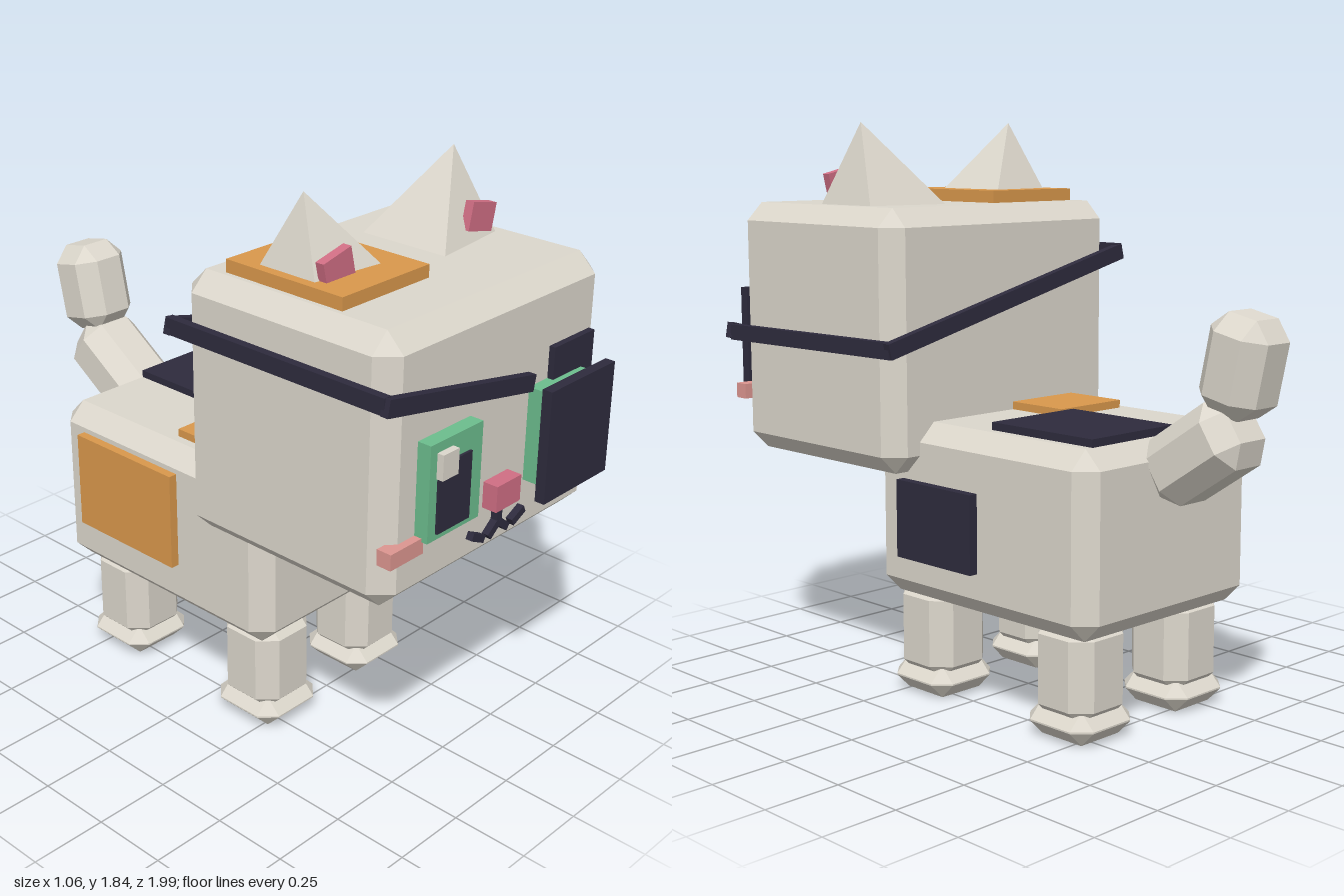
import * as THREE from 'three';
import { ConvexGeometry } from 'three/addons/geometries/ConvexGeometry.js';

const mat = (name, color) => {
  const m = new THREE.MeshStandardMaterial({ color });
  m.name = name;
  return m;
};

export function createModel() {
  const cat = new THREE.Group();
  cat.name = 'cat';
  const cream = mat('cream fur', 0xdcd7cc);
  const orange = mat('orange fur', 0xd9984c);
  const dark = mat('dark navy', 0x2e2b3d);
  const green = mat('eye green', 0x6cbd8d);
  const pink = mat('pink', 0xd06e84);
  const blush = mat('blush', 0xdd9690);

  const add = (name, geometry, material, pos = [0, 0, 0]) => {
    const mesh = new THREE.Mesh(geometry, material);
    mesh.name = name;
    mesh.position.set(...pos);
    cat.add(mesh);
    return mesh;
  };

  const hull = (points) => new ConvexGeometry(points.map((p) => new THREE.Vector3(...p)));

  // Box with flat chamfers on every edge
  const chamferBox = (w, h, d, b) => {
    const pts = [];
    for (const sx of [-1, 1]) for (const sy of [-1, 1]) for (const sz of [-1, 1]) {
      const x = w / 2, y = h / 2, z = d / 2;
      pts.push([sx * x, sy * (y - b), sz * (z - b)]);
      pts.push([sx * (x - b), sy * y, sz * (z - b)]);
      pts.push([sx * (x - b), sy * (y - b), sz * z]);
    }
    return hull(pts);
  };

  // Plain box given by its limits on each axis
  const block = (name, material, [x0, x1], [y0, y1], [z0, z1]) =>
    add(name, new THREE.BoxGeometry(x1 - x0, y1 - y0, z1 - z0), material,
      [(x0 + x1) / 2, (y0 + y1) / 2, (z0 + z1) / 2]);

  // Thin bar running from a to b
  const bar = (name, material, a, b, height, thick) => {
    const p = new THREE.Vector3(...a), q = new THREE.Vector3(...b);
    const mid = p.clone().add(q).multiplyScalar(0.5);
    const mesh = add(name, new THREE.BoxGeometry(thick, height, p.distanceTo(q)), material, mid.toArray());
    mesh.lookAt(q);
    return mesh;
  };

  // Head and body
  add('head', chamferBox(0.986, 0.83, 0.793, 0.059), cream, [-0.002, 1.165, 0.493]);
  add('body', chamferBox(0.77, 0.575, 0.945, 0.059), cream, [-0.003, 0.623, -0.146]);

  // Legs and feet
  for (const x of [-0.217, 0.215]) for (const z of [0.18, -0.44]) {
    add('leg', chamferBox(0.236, 0.33, 0.236, 0.055), cream, [x, 0.215, z]);
    add('foot', chamferBox(0.262, 0.105, 0.266, 0.05), cream, [x, 0.0525, z]);
  }

  // Two-part tail
  add('tailBase', chamferBox(0.23, 0.22, 0.36, 0.058), cream, [0, 0.881, -0.733]).rotation.x = 0.59;
  add('tailTip', chamferBox(0.21, 0.3, 0.21, 0.055), cream, [0, 1.153, -0.873]).rotation.x = -0.21;

  // Ears lean outwards, with pink inner plates
  for (const s of [-1, 1]) {
    add('ear', hull([
      [s * 0.11, 1.575, 0.265], [s * 0.11, 1.575, 0.585],
      [s * 0.4, 1.575, 0.3], [s * 0.4, 1.575, 0.55], [s * 0.328, 1.842, 0.43],
    ]), cream);
    add('innerEar', new THREE.BoxGeometry(0.115, 0.088, 0.03), pink,
      [s * 0.318, 1.647, 0.543]).rotation.z = -s * 0.23;
  }

  // Eyes
  for (const [cx, px, hx] of [[-0.251, -0.261, -0.302], [0.25, 0.24, 0.2]]) {
    block('eye', green, [cx - 0.114, cx + 0.114], [0.956, 1.254], [0.88, 0.935]);
    block('pupil', dark, [px - 0.071, px + 0.071], [0.976, 1.185], [0.93, 0.943]);
    block('eyeHighlight', cream, [hx - 0.034, hx + 0.034], [1.146, 1.224], [0.93, 0.957]);
  }

  // Nose, cheeks and mouth
  block('nose', pink, [-0.058, 0.055], [0.937, 1.02], [0.88, 0.94]);
  for (const s of [-1, 1]) {
    block('cheek', blush, [s * 0.425 - 0.069, s * 0.425 + 0.069], [0.917, 0.967], [0.865, 0.915]);
    bar('mouthCurve', dark, [0, 0.878, 0.9], [s * 0.045, 0.842, 0.9], 0.024, 0.025);
    bar('mouthCorner', dark, [s * 0.068, 0.846, 0.9], [s * 0.124, 0.873, 0.9], 0.024, 0.025);
  }
  block('mouthLine', dark, [-0.012, 0.012], [0.865, 0.94], [0.88, 0.912]);

  // Fur patches
  block('headPatch', orange, [-0.42, -0.056], [1.57, 1.62], [0.22, 0.66]);
  block('browPatch', dark, [0.225, 0.422], [0.96, 1.355], [0.88, 0.91]);
  block('rightSidePatch', orange, [-0.417, -0.38], [0.51, 0.835], [-0.49, -0.048]);
  block('leftSidePatch', dark, [0.375, 0.412], [0.476, 0.727], [-0.163, 0.177]);
  block('backPatchDark', dark, [-0.063, 0.296], [0.9, 0.935], [-0.56, -0.14]);
  block('backPatchOrange', orange, [-0.3, -0.024], [0.9, 0.936], [-0.127, 0.12]);

  // Eye patch and the strap around the head
  block('eyePatch', dark, [0.094, 0.408], [0.927, 1.283], [0.965, 0.998]);
  const strap = [
    [[-0.522, 1.408, 0.903], [0.125, 1.278, 0.903]],
    [[-0.51, 1.408, 0.9], [-0.51, 1.408, 0.075]],
    [[-0.522, 1.408, 0.08], [0.522, 1.15, 0.08]],
    [[0.51, 1.152, 0.075], [0.51, 1.145, 0.9]],
    [[0.522, 1.152, 0.907], [0.385, 1.118, 0.945]],
  ];
  for (const [a, b] of strap) bar('strap', dark, a, b, 0.052, 0.027);

  return cat;
}
